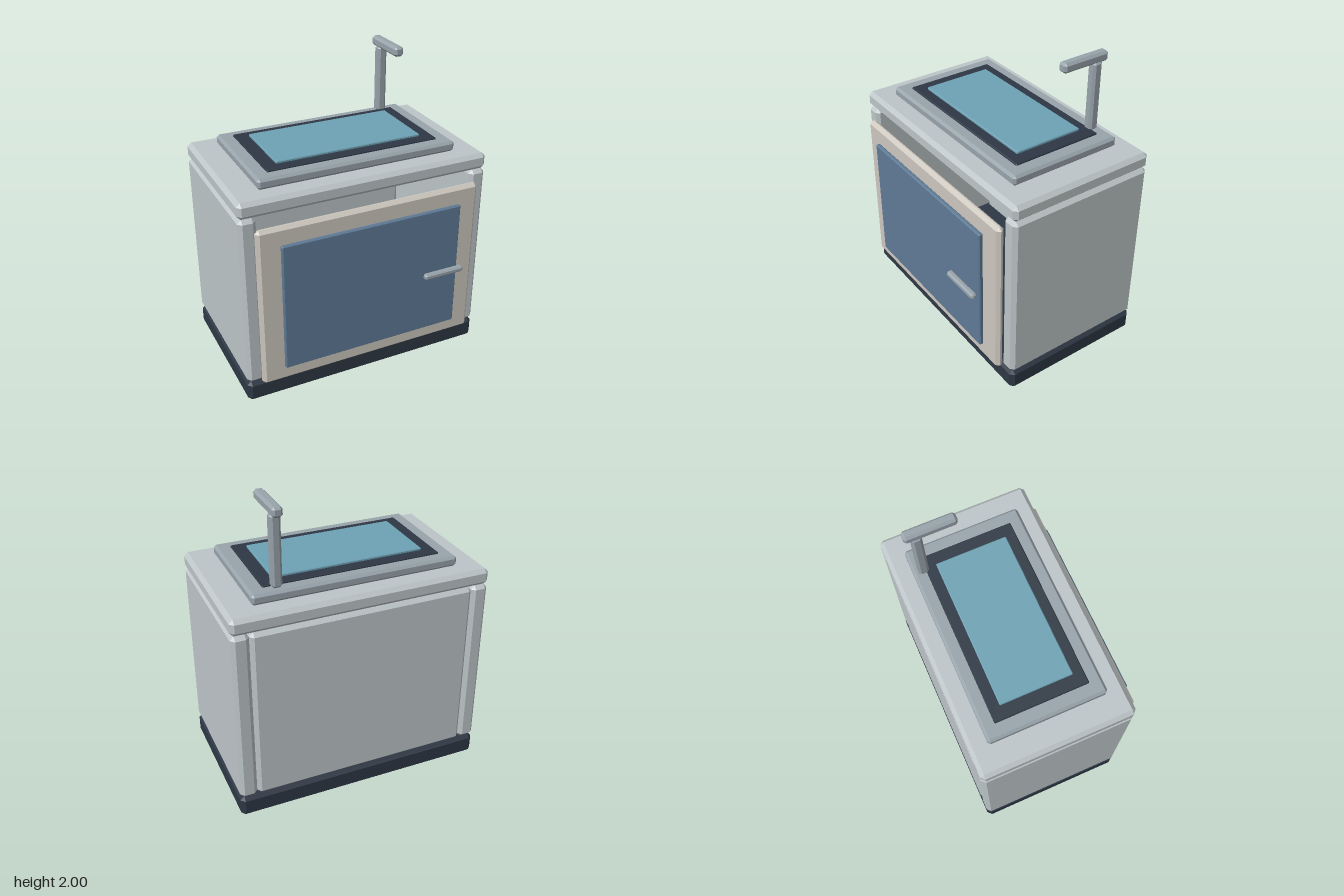
import * as THREE from 'three';
import { ConvexGeometry } from 'three/addons/geometries/ConvexGeometry.js';

const COLORS = {
  panel: 0xbdc5c8, plinth: 0x2d3744, door: 0xcdc8bf, window: 0x5f7a96,
  metal: 0x98a3ab, water: 0x6ea2b5,
};
const materials = {};
for (const key in COLORS) {
  materials[key] = new THREE.MeshStandardMaterial({ color: COLORS[key], flatShading: true });
}

// Box with every edge and corner chamfered by b, spanning [min, max] on each axis
function chamferBox(name, material, [x0, x1], [y0, y1], [z0, z1], b) {
  const half = new THREE.Vector3(x1 - x0, y1 - y0, z1 - z0).multiplyScalar(0.5);
  const points = [];
  for (const sx of [-1, 1]) for (const sy of [-1, 1]) for (const sz of [-1, 1]) {
    for (let axis = 0; axis < 3; axis++) {
      // one point on each of the three faces meeting at this corner
      const p = half.clone().subScalar(b);
      p.setComponent(axis, half.getComponent(axis));
      points.push(p.multiply(new THREE.Vector3(sx, sy, sz)));
    }
  }
  const mesh = new THREE.Mesh(new ConvexGeometry(points), materials[material]);
  mesh.position.set((x0 + x1) / 2, (y0 + y1) / 2, (z0 + z1) / 2);
  mesh.name = name;
  return mesh;
}

export function createModel() {
  const group = new THREE.Group();
  group.name = 'sinkCabinet';
  const add = (...args) => group.add(chamferBox(...args));
  const wide = (h) => [-h, h];
  const depth = [-0.577, 0.426];

  // Cabinet body, open behind the door
  add('plinth', 'plinth', wide(0.837), [0, 0.15], depth, 0.027);
  add('leftSidePanel', 'panel', [0.724, 0.837], [0.15, 1.315], depth, 0.025);
  add('rightSidePanel', 'panel', [-0.837, -0.724], [0.15, 1.315], depth, 0.025);
  add('backPanel', 'panel', wide(0.724), [0.15, 1.315], [-0.577, -0.49], 0.025);
  add('countertop', 'panel', wide(0.837), [1.315, 1.422], depth, 0.025);

  // Door with inset panel and handle
  add('door', 'door', wide(0.753), [0.15, 1.253], [0.426, 0.479], 0.022);
  add('doorPanel', 'window', wide(0.61), [0.26, 1.14], [0.481, 0.511], 0.007);
  add('doorHandle', 'metal', [0.34, 0.622], [0.68, 0.72], [0.534, 0.575], 0.011);

  // Sink: rim, basin and water stacked in thin layers
  add('sinkRim', 'metal', wide(0.667), [1.422, 1.49], [-0.461, 0.308], 0.016);
  add('sinkBasin', 'plinth', wide(0.577), [1.47, 1.501], [-0.382, 0.226], 0.005);
  add('sinkWater', 'water', wide(0.493), [1.49, 1.516], [-0.312, 0.158], 0.005);

  // Faucet
  add('faucetPost', 'metal', [0.466, 0.531], [1.49, 1.945], [-0.43, -0.363], 0.015);
  add('faucetSpout', 'metal', [0.466, 0.531], [1.936, 2.0], [-0.471, -0.14], 0.015);

  return group;
}
